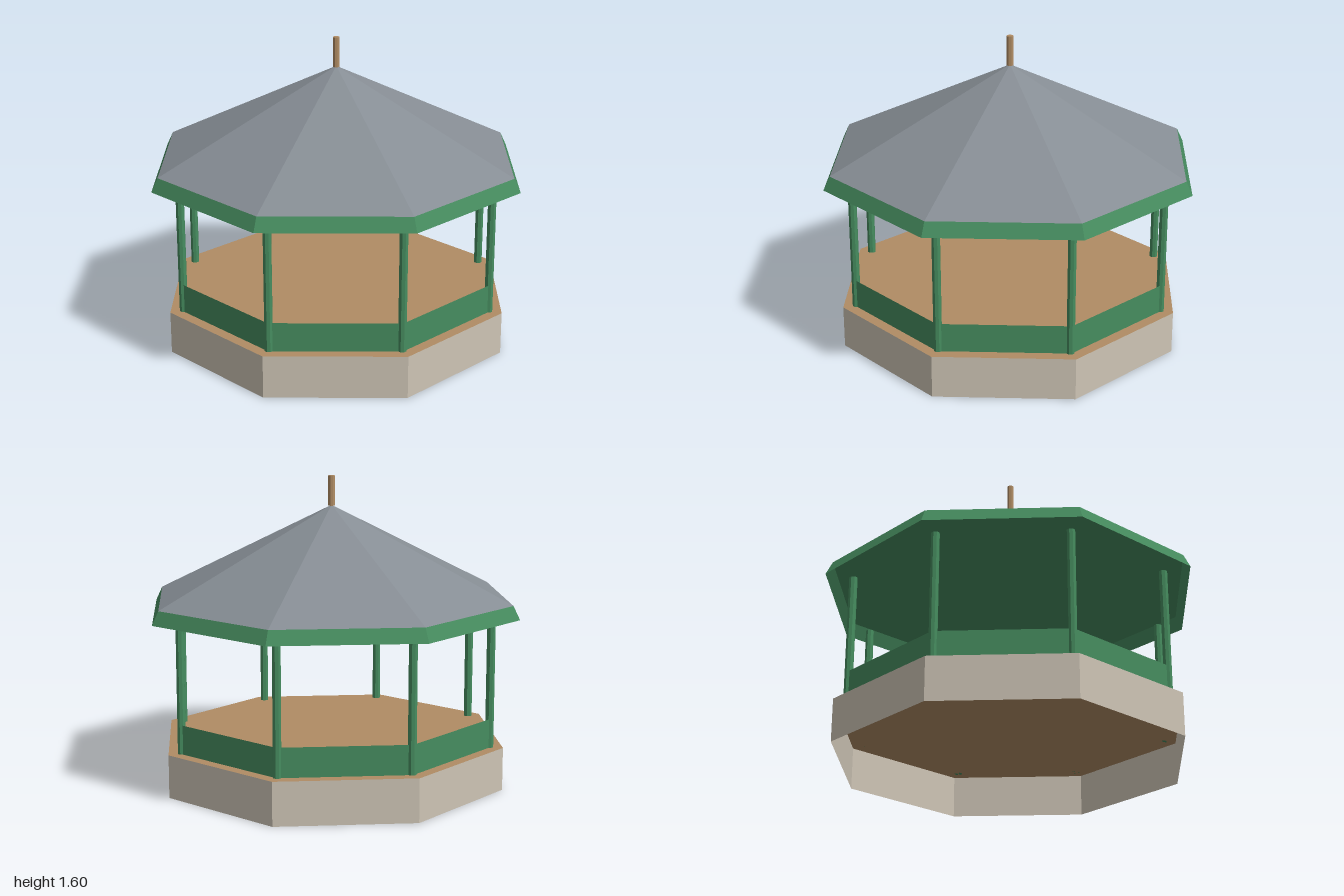
import * as THREE from 'three';

const SIDES = 8;

function material(name, color, side = THREE.FrontSide) {
  const m = new THREE.MeshStandardMaterial({ color, flatShading: true, side });
  m.name = name;
  return m;
}

export function createModel() {
  const group = new THREE.Group();
  group.name = 'bandstand';

  const stone = material('stone', 0xcdc4b5, THREE.DoubleSide);
  const wood = material('wood', 0xb08c64, THREE.DoubleSide);
  const greenPaint = material('green paint', 0x468c5f);
  const greenTrim = material('green trim', 0x468c5f, THREE.DoubleSide);
  const slate = material('slate', 0x868d94);

  function add(name, geometry, mat, x = 0, y = 0, z = 0) {
    const mesh = new THREE.Mesh(geometry, mat);
    mesh.name = name;
    mesh.position.set(x, y, z);
    group.add(mesh);
    return mesh;
  }

  // Open octagonal band between two heights
  function band(name, rTop, rBottom, y0, y1, mat) {
    const g = new THREE.CylinderGeometry(rTop, rBottom, y1 - y0, SIDES, 1, true);
    return add(name, g, mat, 0, (y0 + y1) / 2, 0);
  }

  // Flat octagonal plate
  function plate(name, r, y, mat) {
    const g = new THREE.CircleGeometry(r, SIDES).rotateX(-Math.PI / 2);
    return add(name, g, mat, 0, y, 0);
  }

  // Plinth, floor and low parapet
  band('plinth', 0.925, 0.925, 0, 0.224, stone);
  plate('floor', 0.925, 0.224, wood);
  band('parapet', 0.863, 0.863, 0.224, 0.375, greenPaint);

  // Posts at the corners
  const postGeometry = new THREE.CylinderGeometry(0.022, 0.022, 0.672, 8);
  for (let i = 0; i < SIDES; i++) {
    const a = (i / SIDES) * Math.PI * 2;
    add('post', postGeometry, greenPaint, Math.sin(a) * 0.852, 0.56, Math.cos(a) * 0.852);
  }

  // Eaves trim, ceiling, roof and finial
  band('eavesTrim', 0.963, 0.998, 0.896, 0.967, greenTrim);
  plate('ceiling', 0.963, 0.966, greenTrim);
  add('roof', new THREE.ConeGeometry(0.963, 0.478, SIDES, 1, true), slate, 0, 1.206, 0);
  add('finial', new THREE.CylinderGeometry(0.018, 0.018, 0.155, 8), wood, 0, 1.519, 0);

  return group;
}
